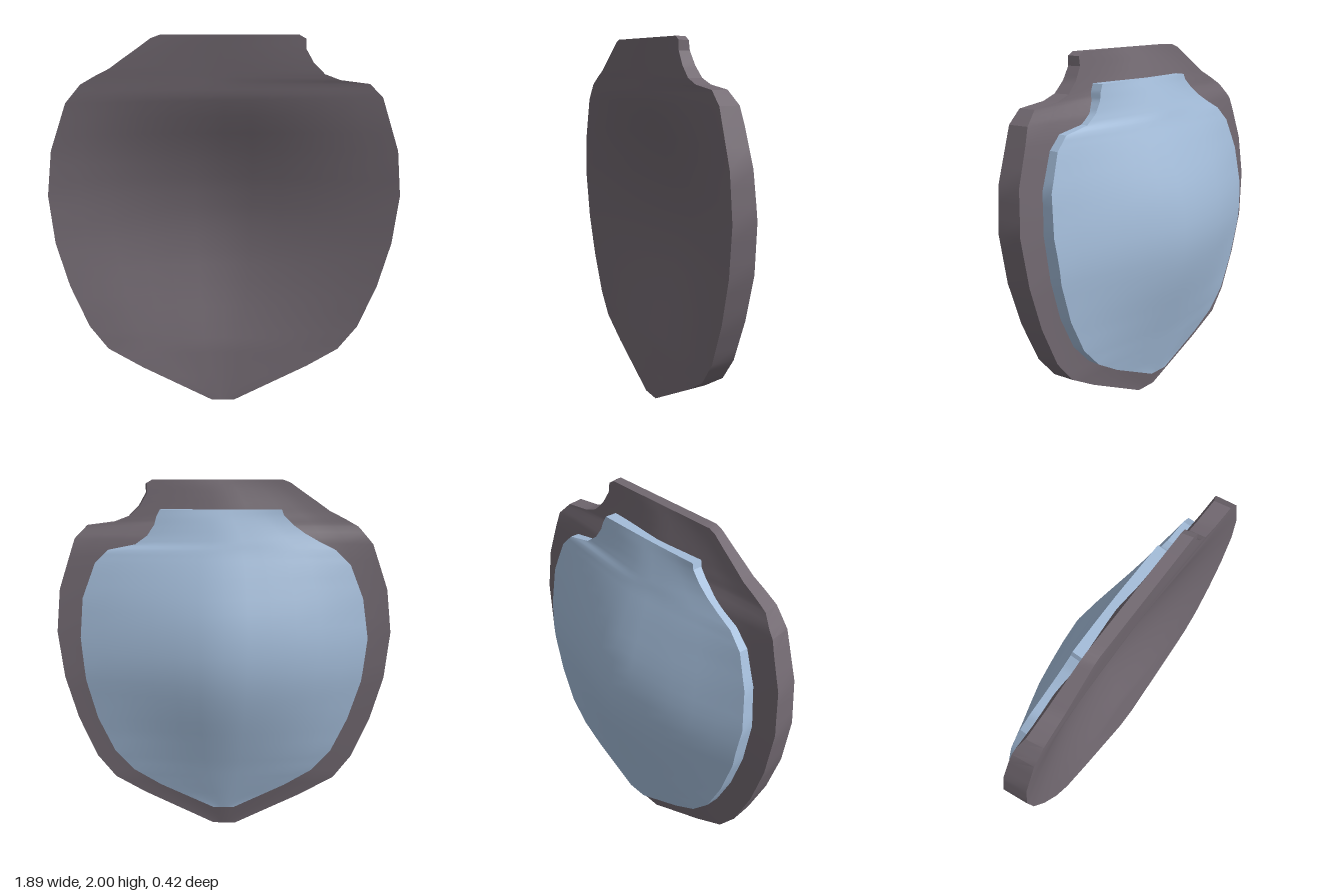
import * as THREE from 'three';
import { toCreasedNormals } from 'three/addons/utils/BufferGeometryUtils.js';

// Linear lookup in a list of [y, value] pairs, y descending
function at(table, y) {
  if (y >= table[0][0]) return table[0][1];
  for (let i = 1; i < table.length; i++) {
    const [y0, v0] = table[i - 1], [y1, v1] = table[i];
    if (y >= y1) return v1 + (v0 - v1) * (y - y1) / (y0 - y1);
  }
  return table[table.length - 1][1];
}

// Bulge across the width, from the right-hand edge (-x) to the left (+x)
const BULGE = [0, 0.24, 0.47, 0.68, 0.81, 0.92, 0.99, 0.88, 0.72, 0.54, 0.36, 0.18, 0];
const COLS = BULGE.length;

// Dished plate: rows are [xLeft, yLeft, xRight, yRight] from top to bottom;
// front(y, bulge) and back(y, bulge) give the z of the two faces.
function plate(rows, front, back, shift) {
  const fine = [];
  const STEPS = 3;
  rows.forEach((r, i) => {
    if (i === rows.length - 1) return fine.push(r);
    for (let s = 0; s < STEPS; s++) fine.push(r.map((v, k) => v + (rows[i + 1][k] - v) * s / STEPS));
  });
  const pos = [], index = [], n = COLS * 2;
  for (const [xl, yl, xr, yr] of fine) {
    for (let j = 0; j < n; j++) {
      const isFront = j < COLS;
      const c = isFront ? j : n - 1 - j;
      const t = c / (COLS - 1);
      const y = yl + (yr - yl) * t;
      pos.push(xl + (xr - xl) * t + (isFront ? shift : 0), y, (isFront ? front : back)(y, BULGE[c]));
    }
  }
  for (let i = 0; i < fine.length - 1; i++) {
    for (let j = 0; j < n; j++) {
      const a = i * n + j, b = i * n + (j + 1) % n;
      index.push(a, a + n, b, b, a + n, b + n);
    }
  }
  // Top and bottom edges
  const last = (fine.length - 1) * n;
  for (let j = 0; j < COLS - 1; j++) {
    const p = j, q = j + 1, r = n - 2 - j, s = n - 1 - j;
    index.push(p, q, r, p, r, s);
    index.push(last + p, last + r, last + q, last + p, last + s, last + r);
  }
  const geo = new THREE.BufferGeometry();
  geo.setAttribute('position', new THREE.Float32BufferAttribute(pos, 3));
  geo.setIndex(index);
  return toCreasedNormals(geo, 0.38);
}

function addPart(group, name, geometry, color) {
  const mesh = new THREE.Mesh(geometry, new THREE.MeshStandardMaterial({ color }));
  mesh.name = name;
  group.add(mesh);
}

export function createModel() {
  const group = new THREE.Group();
  group.name = 'shield';

  // Dark backing plate with a notch in one upper corner
  const backingRows = [
    [-0.34, 2, 0.38, 2], [-0.38, 1.985, 0.415, 1.98], [-0.45, 1.935, 0.415, 1.93],
    [-0.53, 1.88, 0.455, 1.86], [-0.6, 1.83, 0.515, 1.8], [-0.68, 1.79, 0.595, 1.77],
    [-0.76, 1.745, 0.75, 1.75], [-0.84, 1.65, 0.82, 1.68], [-0.925, 1.4, 0.91, 1.4],
    [-0.95, 1.16, 0.93, 1.16], [-0.92, 0.9, 0.895, 0.9], [-0.85, 0.66, 0.825, 0.66],
    [-0.75, 0.43, 0.725, 0.43], [-0.65, 0.3, 0.62, 0.3], [-0.46, 0.19, 0.45, 0.2],
    [-0.08, 0, 0.05, 0],
  ];
  const rimFront = [[2, 0.21], [1.7, 0.21], [1, 0.195], [0, 0.175]];
  const rimBack = [[2, 0.15], [1.75, 0.12], [1.68, 0.095], [1.6, 0.085], [1.2, 0.06],
    [0.9, 0.048], [0.3, 0.055], [0, 0.08]];
  const dishFront = [[2, 0], [1.68, 0.025], [1.55, 0.065], [1.4, 0.118], [1.2, 0.168], [1, 0.188],
    [0.8, 0.174], [0.6, 0.132], [0.3, 0.05], [0, 0]];
  const dishBack = [[2, 0], [1.84, 0.035], [1.68, 0.06], [1.4, 0.13], [1.2, 0.16], [1, 0.17],
    [0.8, 0.15], [0.6, 0.11], [0.3, 0.04], [0, 0]];
  addPart(group, 'backingPlate', plate(
    backingRows,
    (y, b) => at(rimFront, y) - b * at(dishFront, y),
    (y, b) => at(rimBack, y) - b * b * at(dishBack, y),
    0.015,
  ), 0x716870);

  // Smaller domed face plate on the back side
  const faceRows = [
    [-0.33, 1.84, 0.34, 1.84], [-0.34, 1.81, 0.36, 1.8], [-0.39, 1.76, 0.37, 1.76],
    [-0.46, 1.71, 0.41, 1.7], [-0.54, 1.665, 0.48, 1.65], [-0.63, 1.62, 0.63, 1.62],
    [-0.71, 1.54, 0.7, 1.55], [-0.78, 1.36, 0.77, 1.36], [-0.81, 1.14, 0.785, 1.14],
    [-0.78, 0.9, 0.76, 0.9], [-0.71, 0.68, 0.7, 0.68], [-0.62, 0.49, 0.61, 0.49],
    [-0.51, 0.37, 0.5, 0.37], [-0.36, 0.28, 0.35, 0.28], [-0.07, 0.14, 0.05, 0.14],
  ];
  const faceEdge = [[1.84, 0.06], [1.6, 0.03], [1.4, 0.005], [1, -0.035], [0.5, -0.03], [0.14, -0.02]];
  const faceCrown = [[1.84, 0.055], [1.7, 0.0], [1.6, -0.04], [1.5, -0.085], [1.4, -0.125], [1.3, -0.163],
    [1.2, -0.191], [1.1, -0.209], [1, -0.216], [0.9, -0.209], [0.8, -0.194], [0.7, -0.17], [0.6, -0.142],
    [0.4, -0.085], [0.14, -0.02]];
  const faceZ = (y, b) => at(faceEdge, y) * (1 - b) + at(faceCrown, y) * b;
  addPart(group, 'facePlate', plate(faceRows, (y, b) => faceZ(y, b) + 0.09, faceZ, 0), 0xa3bcd9);

  return group;
}
